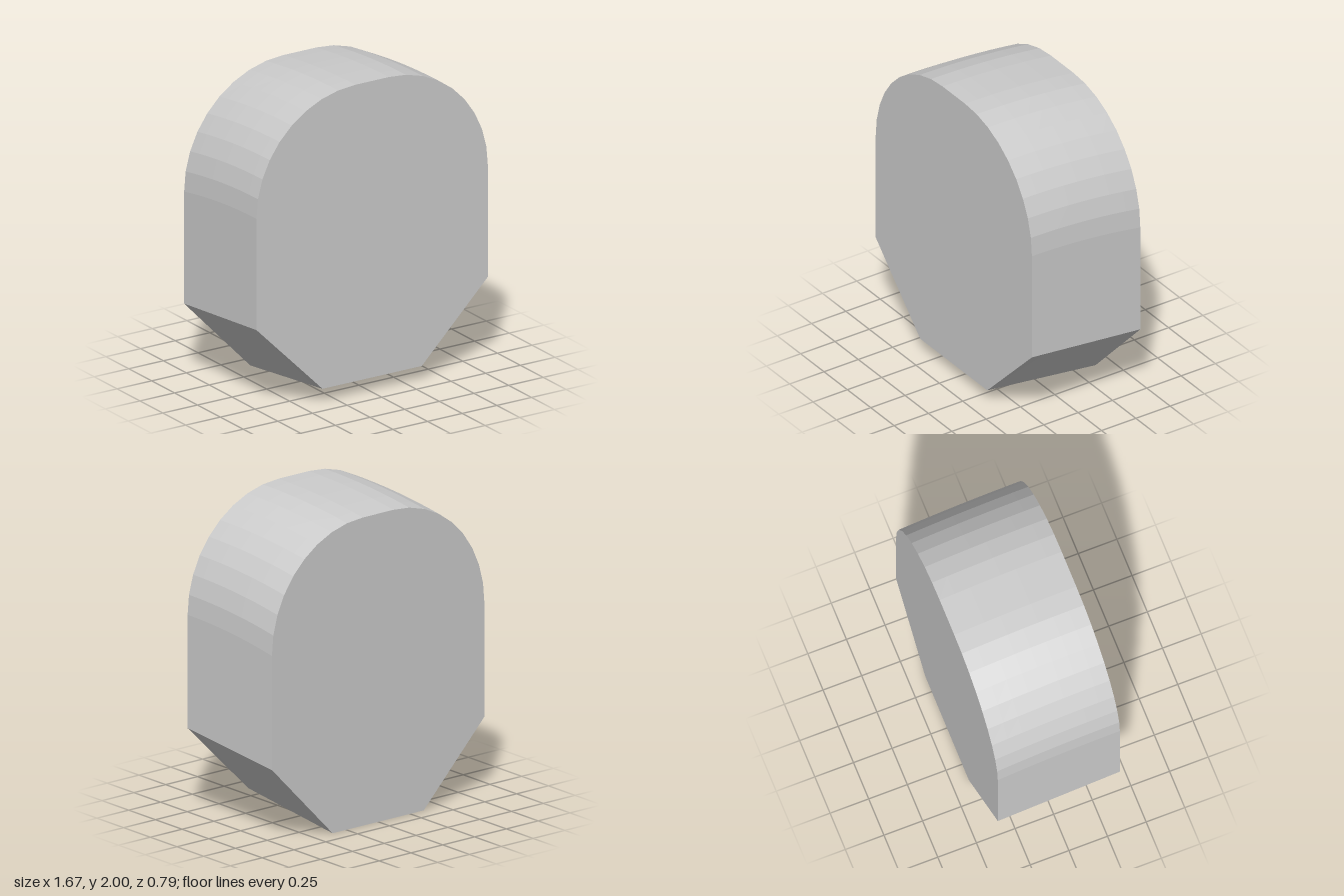
import * as THREE from 'three';

const HALF_DEPTH = 0.395;
const SECTIONS = 8;
const ARC_STEPS = 9;

// Outline at t (0 = front, 1 = back), counter-clockwise seen from the front.
// The base falls in a straight line, the crown along a gentle curve.
function section(t) {
  const z = HALF_DEPTH * (1 - 2 * t);
  const crown = t * t;
  const half = [[0.358, 0.095 - 0.095 * t], [0.835, 0.57 - 0.075 * t]];
  for (let i = 0; i <= ARC_STEPS; i++) {
    const a = (i / ARC_STEPS) * Math.PI / 2;
    const drop = 0.07 + (0.055 - 0.07) * Math.sin(a);
    half.push([0.12 + 0.715 * Math.cos(a), 1.285 + 0.715 * Math.sin(a) - drop * crown]);
  }
  const mirrored = half.map(([x, y]) => [-x, y]).reverse();
  return [...half, ...mirrored].map(([x, y]) => new THREE.Vector3(x, y, z));
}

// Loft the outlines from front to back and close both ends
function bodyGeometry() {
  const points = [];
  const rings = [];
  for (let s = 0; s <= SECTIONS; s++) rings.push(section(s / SECTIONS));
  const n = rings[0].length;

  for (let s = 0; s < SECTIONS; s++) {
    const front = rings[s], back = rings[s + 1];
    for (let i = 0; i < n; i++) {
      const j = (i + 1) % n;
      points.push(front[i], back[i], back[j], front[i], back[j], front[j]);
    }
  }

  // Flat, convex end faces
  const first = rings[0], last = rings[SECTIONS];
  for (let i = 1; i < n - 1; i++) {
    points.push(first[0], first[i], first[i + 1]);
    points.push(last[0], last[i + 1], last[i]);
  }

  const geometry = new THREE.BufferGeometry().setFromPoints(points);
  geometry.computeVertexNormals();
  return geometry;
}

export function createModel() {
  const group = new THREE.Group();
  group.name = 'archedBlock';
  const material = new THREE.MeshStandardMaterial({ color: 0xcccccc, flatShading: true });
  const body = new THREE.Mesh(bodyGeometry(), material);
  body.name = 'body';
  group.add(body);
  return group;
}
